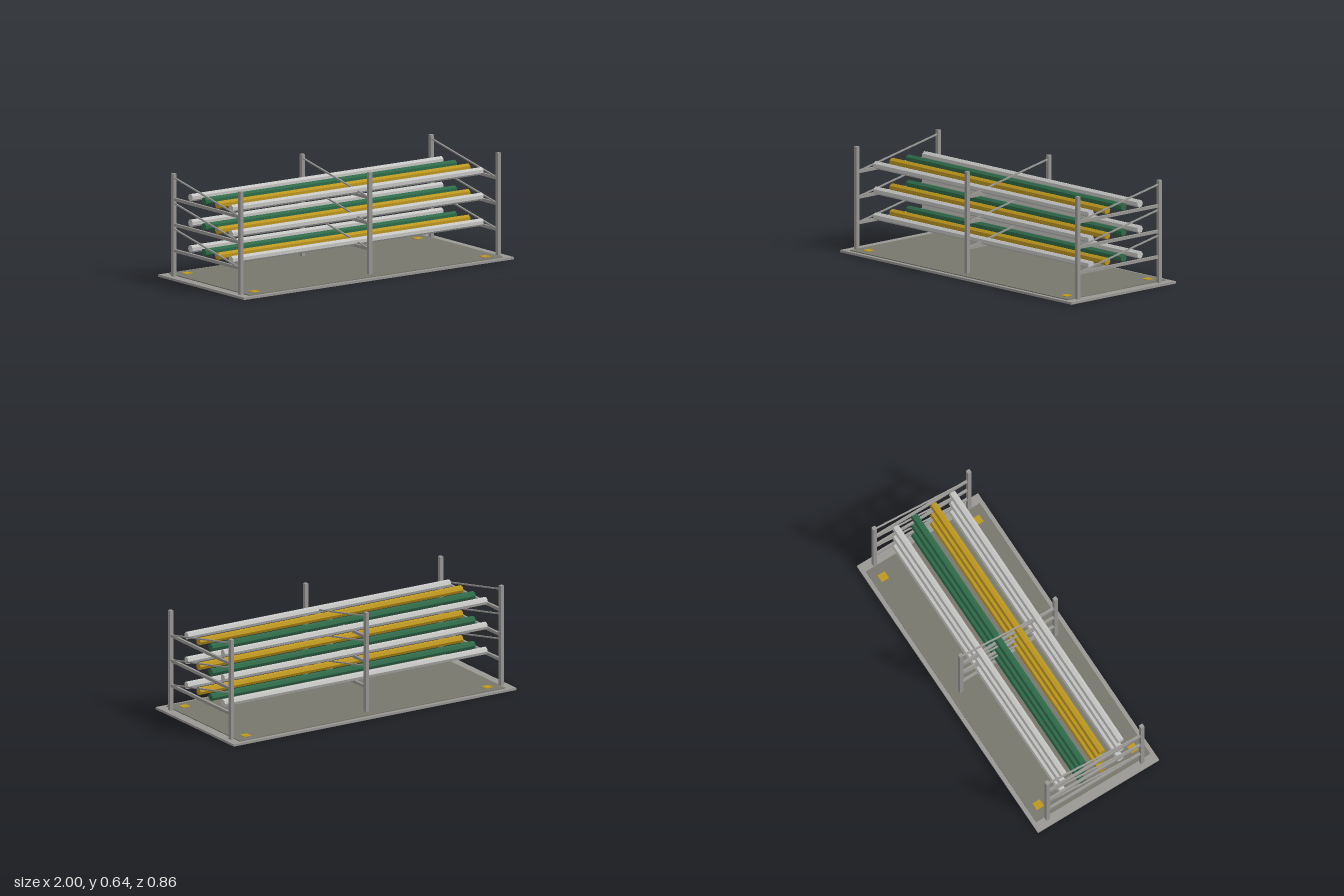
import * as THREE from 'three';

const mat = (name, color) => {
  const m = new THREE.MeshStandardMaterial({ color });
  m.name = name;
  return m;
};

export function createModel() {
  const steel = mat('grey steel', 0x999895);
  const floor = mat('dark grey mat', 0x77776d);
  const silver = mat('light grey pipe', 0xc6c6c4);
  const gold = mat('gold', 0xbd971f);
  const green = mat('green', 0x2f6b4a);

  const model = new THREE.Group();
  model.name = 'pipeRack';

  const box = (parent, name, material, [w, h, d], [x, y, z]) => {
    const mesh = new THREE.Mesh(new THREE.BoxGeometry(w, h, d), material);
    mesh.name = name;
    mesh.position.set(x, y, z);
    parent.add(mesh);
    return mesh;
  };

  // Base plate, inset mat and corner pads
  box(model, 'basePlate', steel, [2, 0.014, 0.855], [0, 0.007, 0]);
  box(model, 'floorMat', floor, [1.88, 0.006, 0.804], [0, 0.016, 0]);
  for (const x of [-0.855, 0.855])
    for (const z of [-0.333, 0.333])
      box(model, 'cornerPad', gold, [0.05, 0.009, 0.05], [x, 0.0175, z]);

  const shelfY = [0.171, 0.327, 0.482];

  // Three upright frames: posts, cross rails and sloping braces
  for (const x of [-0.955, 0, 0.955]) {
    const frame = new THREE.Group();
    frame.name = 'uprightFrame';
    frame.position.x = x;
    model.add(frame);
    for (const z of [-0.333, 0.333])
      box(frame, 'post', steel, [0.023, 0.624, 0.024], [0, 0.325, z]);
    for (const y of shelfY) {
      box(frame, 'crossRail', steel, [0.016, 0.018, 0.65], [0, y, 0]);
      const rise = 0.126, run = 0.637;
      const brace = box(frame, 'slopingBrace', steel,
        [0.01, 0.008, Math.hypot(rise, run)], [0, y + 0.067, -0.008]);
      brace.rotation.x = Math.atan2(rise, run);
    }
  }

  // Four seven-sided pipes lying on each level
  const pipeGeo = new THREE.CylinderGeometry(0.0235, 0.0235, 1.86, 7, 1, false, Math.PI).toNonIndexed();
  pipeGeo.rotateZ(Math.PI / 2);
  pipeGeo.computeVertexNormals();
  const pipes = [[0.2, silver], [0.067, gold], [-0.067, green], [-0.2, silver]];
  for (const y of shelfY)
    for (const [z, material] of pipes) {
      const pipe = new THREE.Mesh(pipeGeo, material);
      pipe.name = 'pipe';
      pipe.position.set(0, y + 0.027, z);
      model.add(pipe);
    }

  return model;
}
